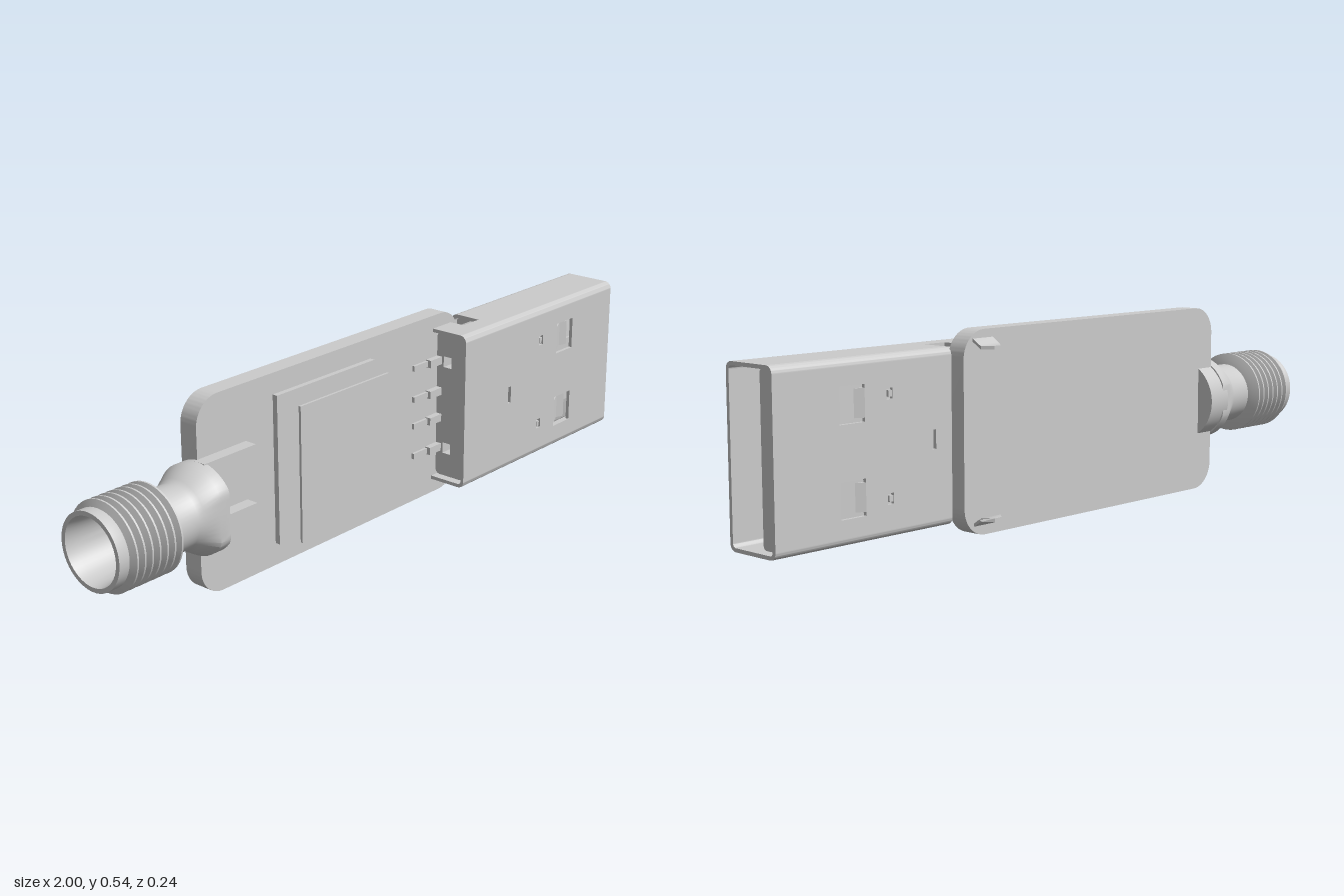
import * as THREE from 'three';
import { toCreasedNormals } from 'three/addons/utils/BufferGeometryUtils.js';

const mat = new THREE.MeshStandardMaterial({ color: 0xcccccc, side: THREE.DoubleSide });
const V = (x, y) => new THREE.Vector2(x, y);

function rectPath(x0, x1, y0, y1, r = 0, Type = THREE.Shape) {
  const p = new Type();
  if (!r) {
    p.moveTo(x0, y0).lineTo(x1, y0).lineTo(x1, y1).lineTo(x0, y1).closePath();
    return p;
  }
  p.absarc(x1 - r, y0 + r, r, -Math.PI / 2, 0);
  p.absarc(x1 - r, y1 - r, r, 0, Math.PI / 2);
  p.absarc(x0 + r, y1 - r, r, Math.PI / 2, Math.PI);
  p.absarc(x0 + r, y0 + r, r, Math.PI, Math.PI * 1.5);
  p.closePath();
  return p;
}
const hole = (x0, x1, y0, y1) => rectPath(x0, x1, y0, y1, 0, THREE.Path);
const extrude = (shape, depth) =>
  new THREE.ExtrudeGeometry(shape, { depth, bevelEnabled: false, curveSegments: 10 });

// Shape in (x, y), thickness along z
const alongZ = (shape, z0, z1) => extrude(shape, z1 - z0).translate(0, 0, z0);
// Shape in (-z, y), length along x
const alongX = (shape, x0, x1) => extrude(shape, x1 - x0).rotateY(Math.PI / 2).translate(x0, 0, 0);
// Shape in (x, z), thickness along y
const alongY = (shape, y0, y1) => extrude(shape, y1 - y0).rotateX(Math.PI / 2).translate(0, y1, 0);

export function createModel() {
  const model = new THREE.Group();
  model.name = 'usbRadioDongle';
  const add = (parent, name, geo) => {
    const mesh = new THREE.Mesh(toCreasedNormals(geo, 0.6), mat);
    mesh.name = name;
    parent.add(mesh);
    return mesh;
  };
  const box = (parent, name, x0, x1, y0, y1, z0, z1) => add(parent, name,
    new THREE.BoxGeometry(x1 - x0, y1 - y0, z1 - z0)
      .translate((x0 + x1) / 2, (y0 + y1) / 2, (z0 + z1) / 2));
  const group = (name) => {
    const g = new THREE.Group();
    g.name = name;
    model.add(g);
    return g;
  };

  // Circuit board
  add(model, 'circuitBoard', alongZ(rectPath(-0.64, 0.39, 0, 0.535, 0.075), -0.065, -0.01));

  // Chip with its thin cover sheet
  const chip = group('chip');
  box(chip, 'chipBase', -0.37, 0.01, 0.063, 0.477, -0.01, 0.005);
  box(chip, 'chipCore', -0.25, -0.06, 0.17, 0.37, 0.012, 0.045);
  box(chip, 'coverSheet', -0.355, -0.01, 0.083, 0.46, 0.066, 0.073);

  // Threaded coaxial socket: bore, rim, thread, neck and flare
  const socket = group('coaxialSocket');
  const cy = 0.26;
  const profile = [V(0, -0.84), V(0.075, -0.84), V(0.085, -0.97), V(0.09, -1), V(0.102, -1), V(0.102, -0.97)];
  for (let i = 0; i < 7; i++) {
    const x = -0.967 + i * 0.0235;
    profile.push(V(0.1, x), V(0.118, x + 0.008), V(0.118, x + 0.013), V(0.1, x + 0.0215));
  }
  profile.push(V(0.086, -0.8), V(0.086, -0.73), V(0.094, -0.715), V(0.12, -0.672), V(0.12, -0.64), V(0, -0.64));
  const body = new THREE.LatheGeometry(profile, 48).rotateZ(-Math.PI / 2);
  // Flatten the front and back of the flare
  const pos = body.attributes.position;
  for (let i = 0; i < pos.count; i++) {
    if (pos.getX(i) > -0.72) pos.setZ(i, THREE.MathUtils.clamp(pos.getZ(i), -0.112, 0.1));
  }
  add(socket, 'socketBody', body.translate(0, cy, 0));
  const pin = (name, x0, x1, r, z) => add(socket, name,
    new THREE.CylinderGeometry(r, r, x1 - x0, 16).rotateZ(Math.PI / 2).translate((x0 + x1) / 2, cy, z));
  pin('centrePin', -0.7, -0.61, 0.012, 0.004);
  pin('innerContact', -0.85, -0.92, 0.02, 0);
  for (const s of [-1, 1]) {
    const y = cy + s * 0.08;
    box(socket, 'frontLeg', -0.65, -0.47, y - 0.04, y + 0.04, -0.01, 0.025);
  }
  const backLeg = new THREE.Shape();
  const a = Math.acos(0.065 / 0.116);
  backLeg.absarc(0, cy, 0.116, -a, a).closePath();
  add(socket, 'backLeg', alongX(backLeg, -0.66, -0.58));

  // Plug shell
  const shell = group('plugShell');
  const X0 = 0.28, XM = 0.43, X1 = 1, Y0 = 0.042, Y1 = 0.497, ZB = -0.062, ZF = 0.107, T = 0.01, R = 0.02;
  const mid = (Y0 + Y1) / 2;
  const wall = (x0) => {
    const s = rectPath(x0, X1, Y0 + R, Y1 - R);
    for (const k of [-1, 1]) {
      const y = mid + k * 0.115;
      s.holes.push(hole(0.72, 0.8, y - 0.046, y + 0.046));
      s.holes.push(hole(0.63, 0.65, y + k * 0.015 - 0.014, y + k * 0.015 + 0.014));
    }
    s.holes.push(hole(0.485, 0.498, mid - 0.025, mid + 0.025));
    return s;
  };
  add(shell, 'frontWall', alongZ(wall(X0), ZF - T, ZF));
  add(shell, 'backWall', alongZ(wall(XM), ZB, ZB + T));

  // Side walls, cut back around the board with a relief notch
  const side = new THREE.Shape([V(X0, ZF - R), V(X0, -0.01), V(0.36, -0.01), V(0.36, 0.035),
    V(XM, 0.035), V(XM, ZB + R), V(X1, ZB + R), V(X1, ZF - R)]);
  add(shell, 'bottomSide', alongY(side, Y0, Y0 + T));
  add(shell, 'topSide', alongY(side, Y1 - T, Y1));

  // Rounded long edges
  const edge = (z, y, start, x0) => {
    const s = new THREE.Shape();
    s.absarc(-z, y, R, start, start + Math.PI / 2, false);
    s.absarc(-z, y, R - T, start + Math.PI / 2, start, true);
    add(shell, 'roundedEdge', alongX(s, x0, X1));
  };
  edge(ZB + R, Y1 - R, 0, XM);
  edge(ZF - R, Y1 - R, Math.PI / 2, X0);
  edge(ZF - R, Y0 + R, Math.PI, X0);
  edge(ZB + R, Y0 + R, Math.PI * 1.5, XM);

  // Spring tongues and small barbs bent in through the shell windows
  for (const k of [-1, 1]) {
    const y = mid + k * 0.115;
    for (const [z, d] of [[ZF, -1], [ZB, 1]]) {
      const bend = new THREE.Shape([V(0.72, z), V(0.765, z + d * 0.022), V(0.79, z + d * 0.014),
        V(0.79, z + d * 0.022), V(0.765, z + d * 0.03), V(0.72, z + d * 0.01)]);
      add(shell, 'springTongue', alongY(bend, y - 0.036, y + 0.036));
      box(shell, 'barb', 0.632, 0.644, y + k * 0.015 - 0.008, y + k * 0.015 + 0.008,
        Math.min(z, z + d * 0.02), Math.max(z, z + d * 0.02));
    }
    // Bent mounting clip passing the board, with a rounded tip
    const ys = (v) => (k > 0 ? v : Y0 + Y1 - v);
    const clipPts = [[-0.01, 0.497], [-0.06, 0.505], [-0.068, 0.503], [-0.085, 0.491], [-0.093, 0.487], [-0.118, 0.487]];
    const outline = clipPts.map(([z, v]) => V(-z, ys(v)));
    outline.push(...clipPts.slice().reverse().map(([z, v]) => V(-z, ys(v + 0.009))));
    const clip = alongX(new THREE.Shape(outline), 0.285, 0.357);
    const cp = clip.attributes.position;
    for (let i = 0; i < cp.count; i++) {
      const over = (-0.084 - cp.getZ(i)) / 0.036;
      if (over > 0) cp.setX(i, 0.321 + (cp.getX(i) - 0.321) * Math.sqrt(Math.max(0.1, 1 - over * over)));
    }
    add(shell, 'mountingClip', clip);
  }

  // Plastic insert: rear base with through openings, and the contact tongue
  const insert = group('plasticInsert');
  const base = rectPath(-0.09, 0.01, Y0 + 0.013, Y1 - 0.013, 0.015);
  for (const k of [-1, 1]) {
    const y = mid + k * 0.13;
    base.holes.push(hole(-0.042, -0.014, y - 0.016, y + 0.016));
  }
  add(insert, 'rearBase', alongX(base, 0.3, 0.45));
  add(insert, 'contactTongue', alongX(rectPath(-0.013, 0.05, Y0 + 0.012, Y1 - 0.012, 0.012), 0.44, 0.975));

  // Four contacts and their solder tails
  const contacts = group('contacts');
  for (const y of [0.14, 0.23, 0.31, 0.402]) {
    box(contacts, 'contactStrip', 0.45, 0.94, y - 0.015, y + 0.015, 0.012, 0.02);
    box(contacts, 'solderTail', 0.19, 0.31, y - 0.008, y + 0.008, -0.012, -0.002);
    box(contacts, 'tailShoulder', 0.25, 0.31, y - 0.011, y + 0.011, -0.01, 0.008);
  }
  return model;
}
